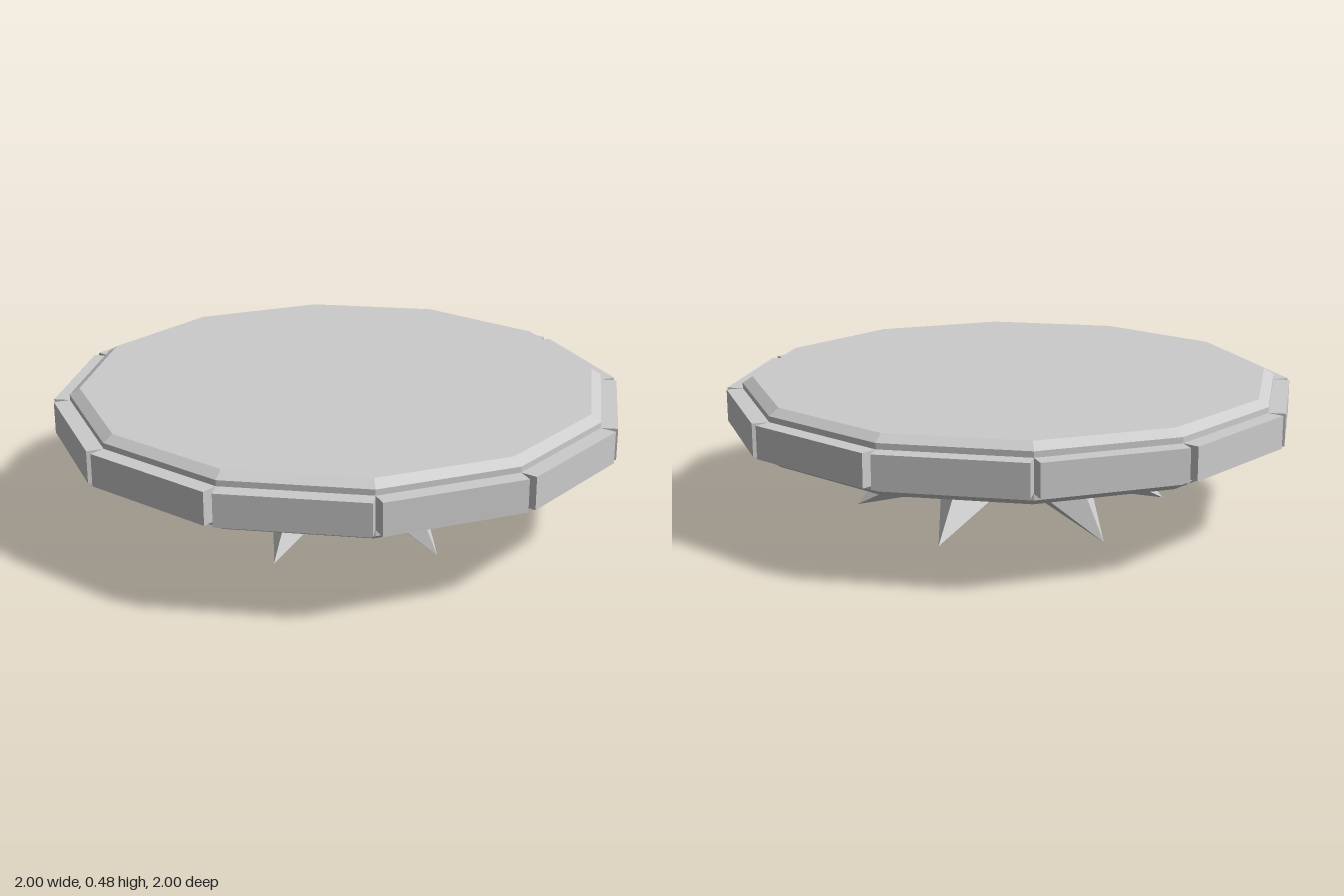
import * as THREE from 'three';

const SIDES = 12;
const SPIKES = 6;

export function createModel() {
  const model = new THREE.Group();
  const material = new THREE.MeshStandardMaterial({ color: 0xcccccc, flatShading: true });

  // Twelve-sided plate with bevelled top and bottom edges
  const radius = 0.945;
  const profile = [[0, 0.28], [0.91, 0.28], [radius, 0.303], [radius, 0.457], [0.91, 0.48], [0, 0.48]]
    .map(([x, y]) => new THREE.Vector2(x, y));
  const plate = new THREE.Mesh(new THREE.LatheGeometry(profile, SIDES), material);
  plate.name = 'plate';
  model.add(plate);

  // Rim blocks, one on each side of the plate
  const rim = new THREE.Group();
  rim.name = 'rim';
  const length = 2 * radius * Math.sin(Math.PI / SIDES);
  const inner = radius * Math.cos(Math.PI / SIDES);
  const outer = 0.97;
  const block = new THREE.BoxGeometry(length, 0.112, outer - inner);
  block.translate(0, 0.381, (inner + outer) / 2);
  for (let i = 0; i < SIDES; i++) {
    const mesh = new THREE.Mesh(block, material);
    mesh.name = 'rimBlock';
    mesh.rotation.y = ((i + 0.5) / SIDES) * Math.PI * 2;
    rim.add(mesh);
  }
  model.add(rim);

  // Star of four-sided spikes under the plate, pointing out and down
  const spikes = new THREE.Group();
  spikes.name = 'spikes';
  const spike = new THREE.ConeGeometry(0.147, 0.355, 4);
  spike.rotateZ(-2.104);
  spike.translate(0.401, 0.091, 0);
  for (let i = 0; i < SPIKES; i++) {
    const mesh = new THREE.Mesh(spike, material);
    mesh.name = 'spike';
    mesh.rotation.y = (i / SPIKES) * Math.PI * 2;
    spikes.add(mesh);
  }
  model.add(spikes);

  return model;
}
